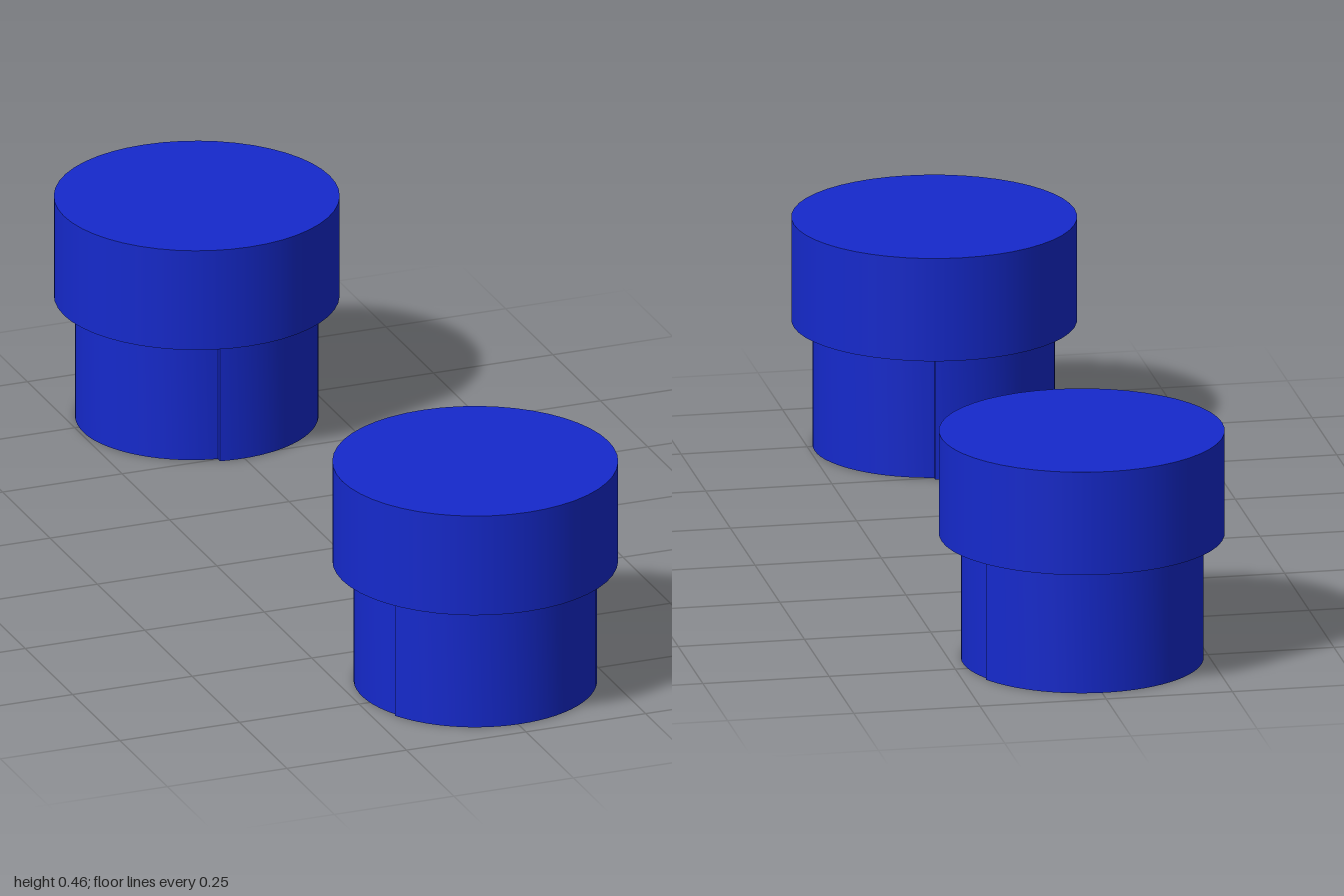
import * as THREE from 'three';
import { toCreasedNormals } from 'three/addons/utils/BufferGeometryUtils.js';

const material = new THREE.MeshStandardMaterial({ color: 0x1529cc });
const HEIGHT = 0.462, STEP = 0.253, HEAD_R = 0.278, STEM_R = 0.237;

// Stem outline: a circle whose wall sinks slightly towards two seams
const seams = [
  { from: 10, to: 79, depth: 0.012 },
  { from: 155, to: 207, depth: 0.006 },
];
function stemGeometry() {
  const points = [];
  const add = (deg, r) => {
    const a = THREE.MathUtils.degToRad(deg);
    points.push(new THREE.Vector2(r * Math.cos(a), r * Math.sin(a)));
  };
  for (let deg = 0; deg < 360; deg += 5) {
    const seam = seams.find(s => deg > s.from && deg < s.to);
    add(deg, STEM_R - (seam ? seam.depth * (deg - seam.from) / (seam.to - seam.from) : 0));
    // sharp step back out at the end of a sunken stretch
    const end = seams.find(s => s.to > deg && s.to <= deg + 5);
    if (end) {
      add(end.to, STEM_R - end.depth);
      add(end.to + 0.3, STEM_R);
    }
  }
  const geometry = new THREE.ExtrudeGeometry(new THREE.Shape(points), { depth: STEP, bevelEnabled: false });
  geometry.rotateX(-Math.PI / 2);
  return toCreasedNormals(geometry, Math.PI / 6);
}

function makePlug(name) {
  const plug = new THREE.Group();
  plug.name = name;

  // narrow lower stem
  const stem = new THREE.Mesh(stemGeometry(), material);
  stem.name = 'stem';

  // wide upper head
  const head = new THREE.Mesh(new THREE.CylinderGeometry(HEAD_R, HEAD_R, HEIGHT - STEP, 48), material);
  head.name = 'head';
  head.position.y = (HEIGHT + STEP) / 2;

  plug.add(stem, head);
  return plug;
}

export function createModel() {
  const model = new THREE.Group();
  model.name = 'plugPair';

  const front = makePlug('frontPlug');
  front.position.set(0.004, 0, 0.722);

  // the back plug is the front one turned half round
  const back = makePlug('backPlug');
  back.position.set(-0.006, 0, -0.722);
  back.rotation.y = Math.PI;

  model.add(front, back);
  return model;
}
